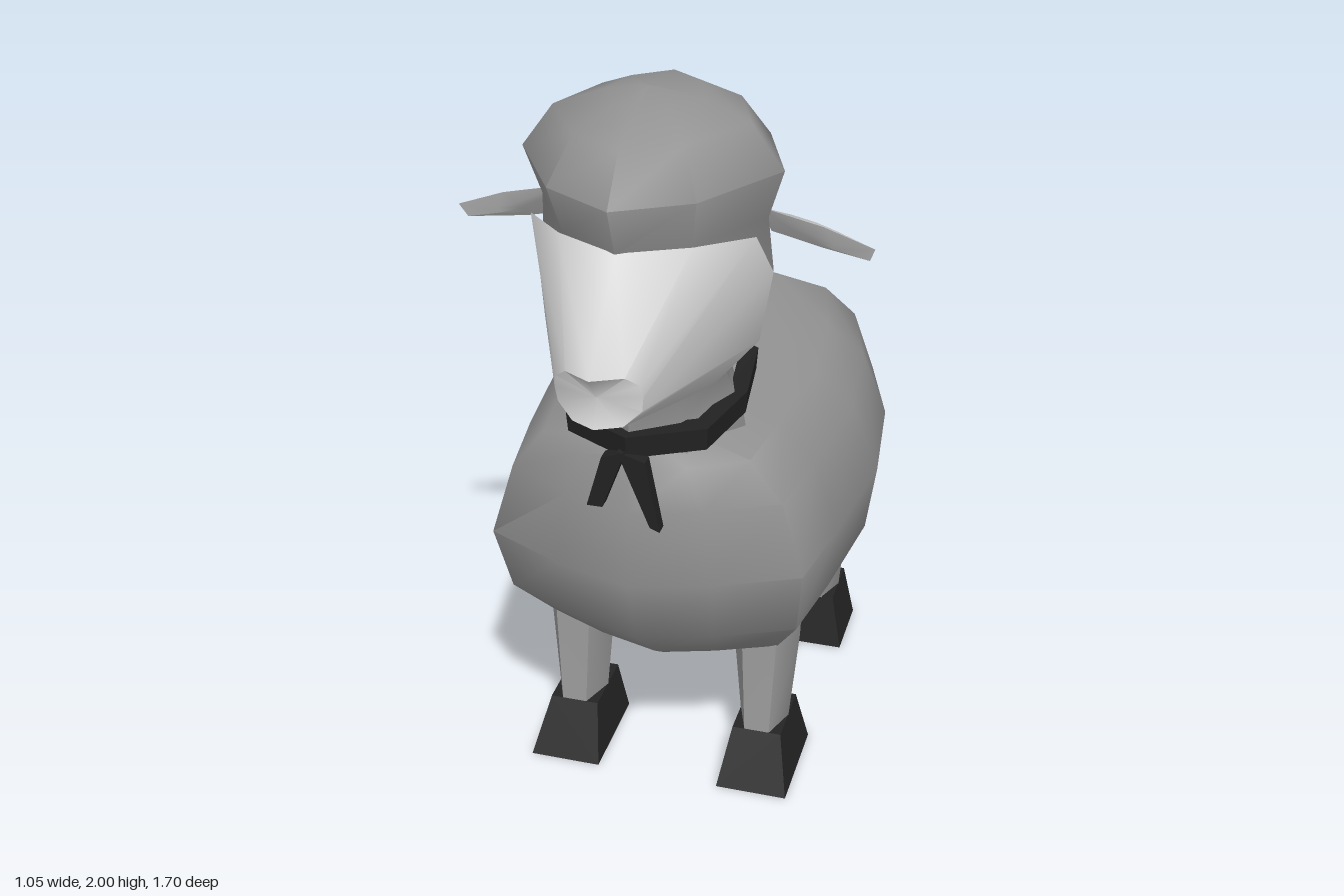
import * as THREE from 'three';
import { toCreasedNormals } from 'three/addons/utils/BufferGeometryUtils.js';

const mat = (name, color, flatShading = false) => {
  const m = new THREE.MeshStandardMaterial({ color });
  m.name = name;
  m.flatShading = flatShading;
  return m;
};

// Skin closed rings of [x, y, z] points, with optional fans over the ends
function loft(rings, capStart = true, capEnd = true, crease = 1.0) {
  const n = rings[0].length, pts = rings.flat().map((p) => new THREE.Vector3(...p));
  const tris = [];
  for (let r = 0; r < rings.length - 1; r++) {
    for (let i = 0; i < n; i++) {
      const a = r * n + i, b = r * n + (i + 1) % n;
      tris.push([a, b, b + n], [a, b + n, a + n]);
    }
  }
  const cap = (start, flip) => {
    const c = new THREE.Vector3();
    for (let i = 0; i < n; i++) c.addScaledVector(pts[start + i], 1 / n);
    const k = pts.push(c) - 1;
    for (let i = 0; i < n; i++) {
      const a = start + i, b = start + (i + 1) % n;
      tris.push(flip ? [b, a, k] : [a, b, k]);
    }
  };
  if (capStart) cap(0, true);
  if (capEnd) cap((rings.length - 1) * n, false);
  // turn the skin outward whatever the ring direction
  const mid = new THREE.Vector3();
  pts.forEach((p) => mid.addScaledVector(p, 1 / pts.length));
  const rel = pts.map((p) => p.clone().sub(mid));
  let vol = 0;
  tris.forEach(([a, b, c]) => { vol += rel[a].dot(rel[b].clone().cross(rel[c])); });
  const geo = new THREE.BufferGeometry().setFromPoints(pts);
  geo.setIndex(tris.flatMap(([a, b, c]) => (vol < 0 ? [a, c, b] : [a, b, c])));
  return toCreasedNormals(geo, crease);
}

// Complete a half outline (x >= 0, both ends on x = 0) by mirroring
const mirror = (half) => [...half, ...half.slice(1, -1).reverse().map(([x, ...r]) => [-x, ...r])];

// Horizontal ring from a unit plan: height, half width, back z, front z
const level = (plan) => ([y, w, zb, zf]) =>
  plan.map(([x, u]) => [x * w, y, (zb + zf) / 2 + u * (zf - zb) / 2]);

const rect = (y, x0, x1, z0, z1) => [[x0, y, z0], [x1, y, z0], [x1, y, z1], [x0, y, z1]];

// Six-sided ring used by the legs
const hexRing = (y, x0, x1, z0, z1) => [[0.25, 0], [0.75, 0], [1, 0.5], [0.75, 1], [0.25, 1], [0, 0.5]]
  .map(([s, t]) => [x0 + (x1 - x0) * s, y, z0 + (z1 - z0) * t]);

export function createModel() {
  const wool = mat('wool', 0x929292);
  const skin = mat('face skin', 0xd2d2d2);
  const legMat = mat('leg skin', 0x9c9c9c);
  const hoofMat = mat('hoof', 0x242424, true);
  const scarf = mat('neckerchief', 0x222222, true);
  const model = new THREE.Group();
  model.name = 'lamb';
  const add = (name, geo, material) => {
    const mesh = new THREE.Mesh(geo, material);
    mesh.name = name;
    model.add(mesh);
    return mesh;
  };

  // Body: stacked rounded plans, with a shallow keel under the belly
  const bodyPlan = mirror([[0, 1], [0.42, 0.91], [0.84, 0.77], [0.92, 0.42], [1, -0.08],
    [0.92, -0.56], [0.74, -0.95], [0.41, -1], [0, -1]]);
  add('body', loft([
    [0.37, 0.01, -0.37, 0.29], [0.43, 0.37, -0.58, 0.37], [0.58, 0.46, -0.745, 0.53],
    [0.78, 0.49, -0.77, 0.6], [0.98, 0.42, -0.71, 0.58], [1.09, 0.32, -0.63, 0.565],
    [1.14, 0.14, -0.57, 0.555],
  ].map(level(bodyPlan))), wool);

  // Neck and woolly head
  const headPlan = mirror([[0, 1], [0.55, 0.72], [1, 0.05], [0.72, -0.6], [0, -1]]);
  add('head', loft([
    [1.08, 0.23, 0, 0.55], [1.2, 0.2, 0.03, 0.56], [1.28, 0.18, 0.07, 0.57],
    [1.4, 0.26, 0.03, 0.56], [1.55, 0.29, -0.01, 0.6], [1.695, 0.28, -0.01, 0.64],
    [1.82, 0.32, -0.03, 0.69], [1.93, 0.24, 0.07, 0.6], [1.97, 0.12, 0.15, 0.48], [2.0, 0.01, 0.35, 0.37],
  ].map(level(headPlan))), wool);

  // Face tapering forward to the nose
  add('face', loft([
    mirror([[0, 1.7, 0.64], [0.16, 1.7, 0.56], [0.275, 1.685, 0.43], [0.297, 1.56, 0.34],
      [0.272, 1.39, 0.37], [0.18, 1.3, 0.46], [0, 1.245, 0.6]]),
    mirror([[0, 1.48, 0.845], [0.07, 1.475, 0.8], [0.1, 1.45, 0.78], [0.105, 1.42, 0.775],
      [0.1, 1.38, 0.77], [0.06, 1.345, 0.79], [0, 1.345, 0.82]]),
  ], false, true), skin);

  // Ears: thin leaves, front edge high and back edge low
  for (const s of [1, -1]) {
    const rim = [[0.25, 1.7, 0.29], [0.4, 1.665, 0.285], [0.525, 1.615, 0.27],
      [0.51, 1.575, 0.25], [0.38, 1.56, 0.17], [0.25, 1.59, 0.17]];
    const face = (d) => rim.map(([x, y, z]) => [s * (0.36 + (x - 0.36) * 0.4),
      1.63 + (y - 1.63) * 0.4 + d, 0.235 + (z - 0.235) * 0.4 - d]);
    add(s > 0 ? 'leftEar' : 'rightEar',
      loft([face(0.012), rim.map(([x, y, z]) => [s * x, y, z]), face(-0.012)], true, true, 0.6), skin);
  }

  // Tail
  add('tail', loft([
    [[-0.05, 1.14, -0.56], [0.05, 1.14, -0.56], [0.16, 1.02, -0.65], [-0.16, 1.02, -0.65]],
    [[-0.05, 0.985, -0.85], [0.05, 0.985, -0.85], [0.05, 0.957, -0.845], [-0.05, 0.957, -0.845]],
  ], true, true, 0.7), wool);

  // Legs and flared hooves
  const legs = [
    { name: 'front', top: [0.09, 0.27], ankle: [0.09, 0.28], sole: [0.07, 0.36] },
    { name: 'back', top: [-0.58, -0.36], ankle: [-0.58, -0.41], sole: [-0.578, -0.37] },
  ];
  for (const s of [1, -1]) {
    for (const { name, top, ankle, sole } of legs) {
      const side = s > 0 ? 'Left' : 'Right';
      add(`${name}${side}Leg`, loft([
        hexRing(0.55, s * 0.16, s * 0.36, ...top), hexRing(0.42, s * 0.17, s * 0.355, ...top),
        hexRing(0.14, s * 0.195, s * 0.33, ...ankle),
      ]), legMat);
      add(`${name}${side}Hoof`, loft([
        rect(0.15, s * 0.195, s * 0.33, ...ankle), rect(0, s * 0.17, s * 0.365, ...sole),
      ]), hoofMat);
    }
  }

  // Neckerchief band, slightly raised at the back
  const bandPlan = mirror([[0, 0.59], [0.18, 0.5], [0.228, 0.3], [0.2, 0.075], [0, -0.035]]);
  const band = (y, grow) => bandPlan.map(([x, z]) =>
    [x * grow, y + (0.59 - z) * 0.035, 0.28 + (z - 0.28) * grow]);
  add('neckerchiefBand', loft([band(1.2, 0.8), band(1.2, 1), band(1.14, 0.98), band(1.14, 0.8)],
    false, false), scarf);

  // Two hanging ends of the knot
  [[[0, 1.16], [-0.06, 1.14], [-0.1, 1.0], [-0.06, 1.0]],
    [[0.05, 1.14], [-0.02, 1.16], [0.06, 0.96], [0.085, 0.95]]].forEach((outline, i) => {
    const at = (dz) => outline.map(([x, y]) => [x, y, 0.59 + dz]);
    add(i ? 'leftKnotEnd' : 'rightKnotEnd', loft([at(-0.03), at(0.004)]), scarf);
  });

  return model;
}
